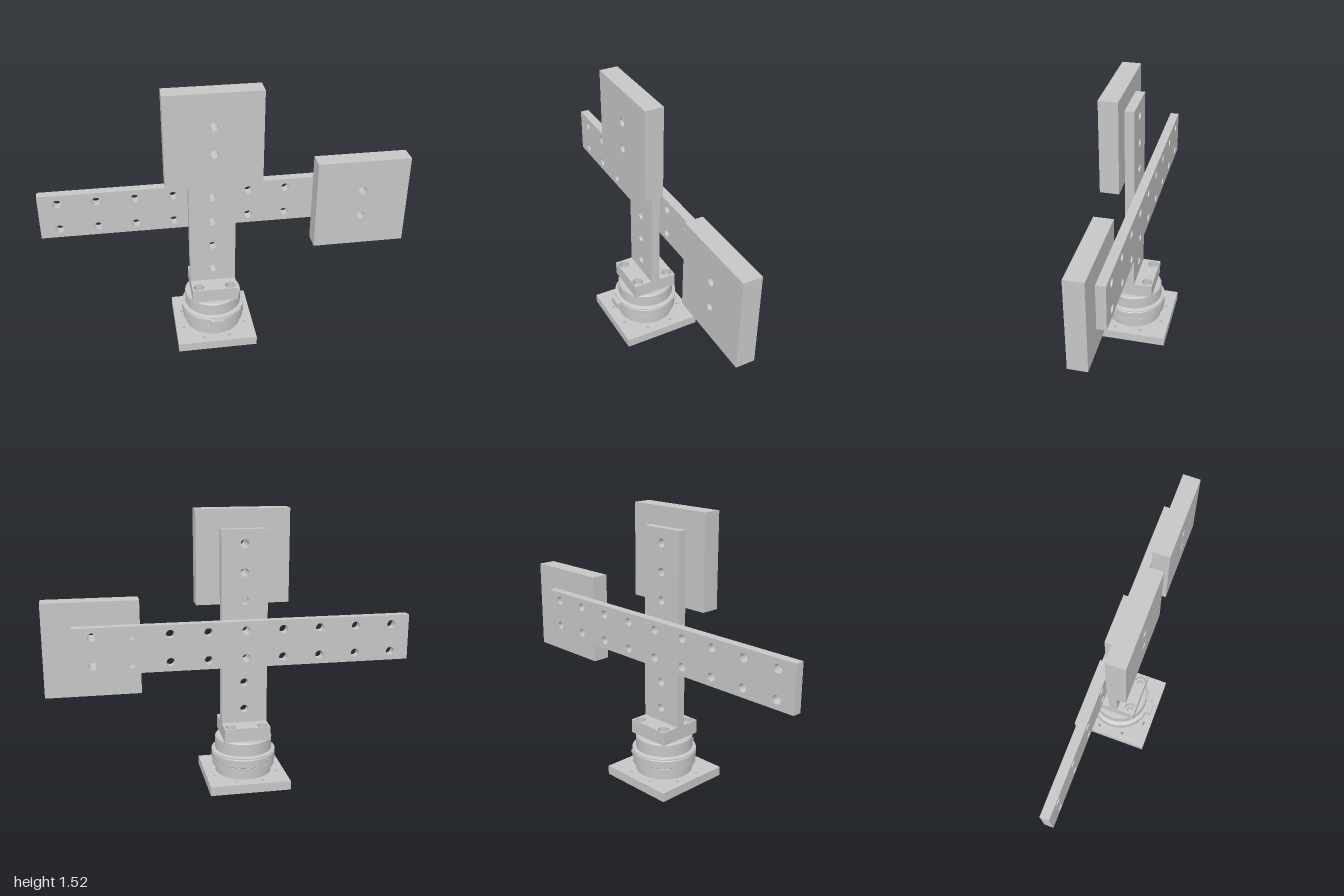
import * as THREE from 'three';
import { toCreasedNormals } from 'three/addons/utils/BufferGeometryUtils.js';

const CX = -0.077; // axis of the mast and its mount
const HOLE = 0.023;

export function createModel() {
  const model = new THREE.Group();
  const metal = new THREE.MeshStandardMaterial({ color: 0xc6c6c6 });
  metal.name = 'light grey metal';

  const add = (name, geo, parent = model) => {
    const mesh = new THREE.Mesh(geo, metal);
    mesh.name = name;
    parent.add(mesh);
    return mesh;
  };

  // Drilled plate: outline x0..x1, y0..y1, thickness z0..z1, holes as [x, y, r]
  const plateGeo = (x0, x1, y0, y1, z0, z1, holes) => {
    const shape = new THREE.Shape();
    shape.moveTo(x0, y0).lineTo(x1, y0).lineTo(x1, y1).lineTo(x0, y1).closePath();
    for (const [x, y, r] of holes) {
      shape.holes.push(new THREE.Path().absarc(x, y, r, 0, Math.PI * 2, true));
    }
    const geo = new THREE.ExtrudeGeometry(shape, { depth: z1 - z0, bevelEnabled: false, curveSegments: 12 });
    geo.translate(0, 0, z0);
    return toCreasedNormals(geo, 0.7);
  };

  // Same plate lying flat, centred on the mast axis
  const flatPlate = (name, hw, hd, y0, y1, holes) => {
    const geo = plateGeo(-hw, hw, -hd, hd, y0, y1, holes);
    geo.rotateX(-Math.PI / 2);
    geo.translate(CX, 0, 0);
    return add(name, geo);
  };

  // Mast, with a row of holes down the middle
  const mastHoles = [];
  for (let i = 0; i < 7; i++) mastHoles.push([CX, 0.418 + i * 0.1535, HOLE]);
  add('mast', plateGeo(CX - 0.1275, CX + 0.1275, 0.34, 1.416, -0.0255, 0.0255, mastHoles));

  // Cross arm, with two rows of holes
  const armHoles = [];
  for (let i = 0; i < 9; i++) {
    for (const y of [0.725, 0.879]) armHoles.push([-0.898 + i * 0.2052, y, HOLE]);
  }
  add('crossArm', plateGeo(-1, 0.846, 0.675, 0.93, -0.0765, -0.0255, armHoles));

  // Square panels
  add('topPanel', plateGeo(CX - 0.256, CX + 0.256, 1.007, 1.519, 0.0255, 0.1275,
    [[CX, 1.186, HOLE], [CX, 1.339, HOLE]]));
  add('sidePanel', plateGeo(0.488, 1, 0.546, 1.058, -0.0255, 0.0765,
    [[0.744, 0.725, HOLE], [0.744, 0.879, HOLE]]));

  // Mast foot with counterbored corner holes
  const corners = (r) => [-1, 1].flatMap((sx) => [-1, 1].map((sz) => [sx * 0.089, sz * 0.093, r]));
  flatPlate('mastFootLower', 0.1275, 0.1275, 0.263, 0.3, corners(0.017));
  flatPlate('mastFootUpper', 0.1275, 0.1275, 0.3, 0.34, corners(0.03));

  // Base plate with an outer and an inner circle of small holes
  const baseHoles = [];
  for (let i = 0; i < 8; i++) {
    const a = (i + 0.5) * Math.PI / 4;
    baseHoles.push([Math.cos(a) * 0.193, Math.sin(a) * 0.193, 0.009]);
  }
  for (let i = 0; i < 4; i++) {
    const a = i * Math.PI / 2;
    baseHoles.push([Math.cos(a) * 0.13, Math.sin(a) * 0.13, 0.009]);
  }
  flatPlate('basePlate', 0.2235, 0.2235, 0, 0.051, baseHoles);

  // Turned coupling between base and foot
  const coupling = new THREE.Group();
  coupling.name = 'coupling';
  coupling.position.x = CX;
  model.add(coupling);
  const turned = (name, pts) => add(name, toCreasedNormals(
    new THREE.LatheGeometry(pts.map(([r, y]) => new THREE.Vector2(r, y)), 64), 0.5), coupling);
  turned('lowerFlange', [
    [0, 0.051], [0.158, 0.051], [0.158, 0.093], [0.174, 0.093], [0.174, 0.12], [0.165, 0.123], [0, 0.123],
  ]);
  turned('clampRing', [
    [0, 0.122], [0.174, 0.122], [0.179, 0.126], [0.179, 0.168], [0.175, 0.172], [0.168, 0.172], [0, 0.172],
  ]);
  turned('upperFlange', [
    [0, 0.171], [0.168, 0.171], [0.168, 0.175], [0.179, 0.175], [0.179, 0.181], [0.172, 0.185],
    [0.159, 0.187], [0.159, 0.255], [0.153, 0.263], [0, 0.263],
  ]);

  // Latch block on the front of the ring
  const latch = add('latch', new THREE.BoxGeometry(0.073, 0.036, 0.04), coupling);
  latch.position.set(0, 0.156, 0.184);

  // Socket screws at the back of the ring
  const profile = [[0.012, -0.008], [0.012, 0.003], [0.007, 0.003], [0.007, -0.004]]
    .map(([r, y]) => new THREE.Vector2(r, y));
  for (const side of [-1, 1]) {
    const screw = add(side > 0 ? 'leftScrew' : 'rightScrew',
      toCreasedNormals(new THREE.LatheGeometry(profile, 16), 0.5), coupling);
    const dir = new THREE.Vector3(side * 0.66, 0, -0.75).normalize();
    screw.quaternion.setFromUnitVectors(new THREE.Vector3(0, 1, 0), dir);
    screw.position.copy(dir).multiplyScalar(0.18).setY(0.148);
  }

  return model;
}
